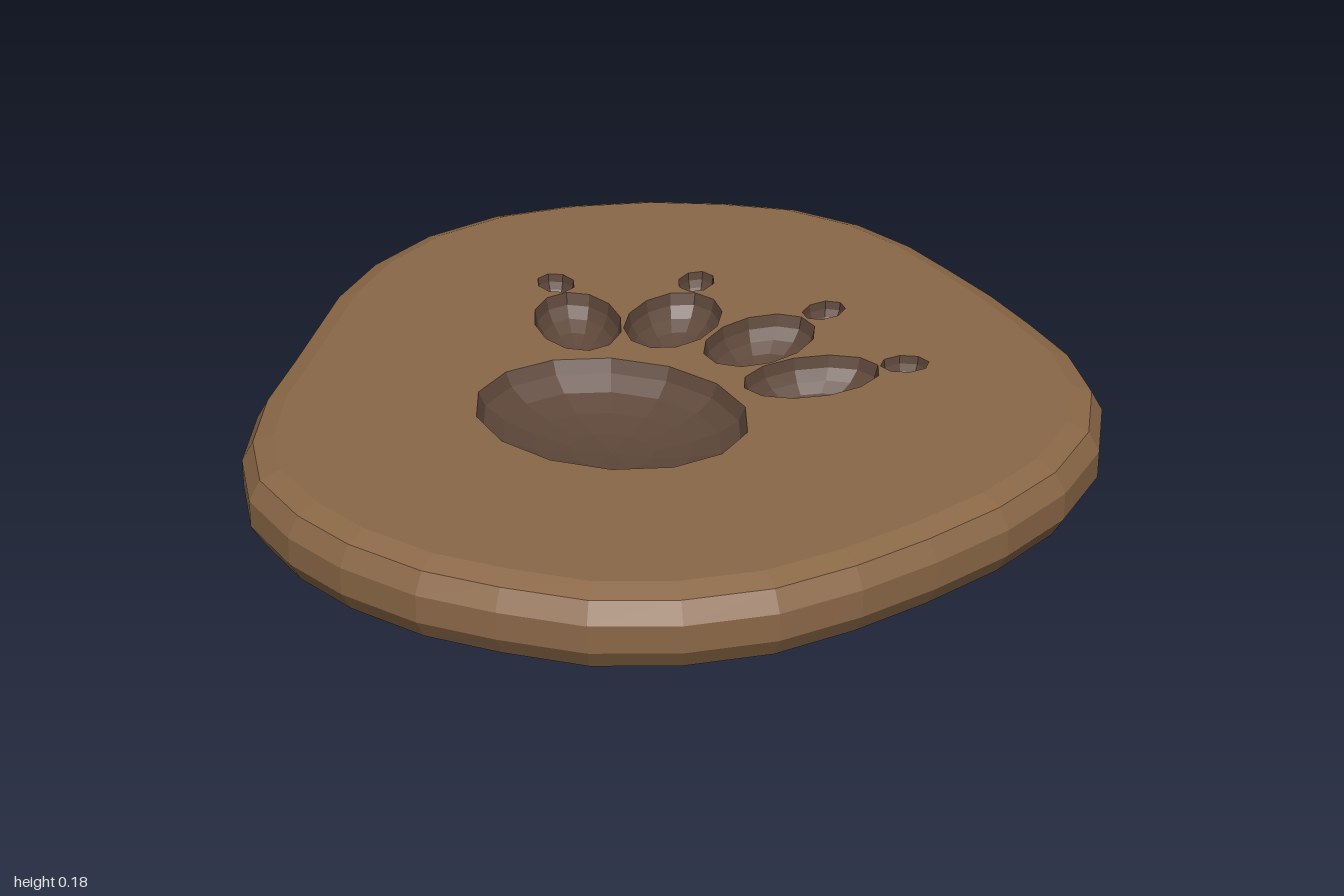
import * as THREE from 'three';

const TOP = 0.18;

// Slab outline as [x, z], clockwise seen from above
const OUTLINE = [
  [-0.2, -1], [-0.01, -0.99], [0.16, -0.93], [0.3, -0.85], [0.45, -0.76], [0.59, -0.66], [0.73, -0.55], [0.85, -0.4],
  [0.92, -0.21], [0.93, 0], [0.89, 0.2], [0.82, 0.39], [0.74, 0.56], [0.64, 0.72], [0.5, 0.85], [0.34, 0.94],
  [0.16, 0.98], [-0.01, 1], [-0.2, 0.98], [-0.36, 0.93], [-0.52, 0.84], [-0.64, 0.7], [-0.73, 0.52], [-0.79, 0.33],
  [-0.84, 0.18], [-0.9, 0], [-0.93, -0.2], [-0.91, -0.41], [-0.83, -0.6], [-0.7, -0.75], [-0.54, -0.87], [-0.37, -0.95],
];

// Edge profile as [inset, y], bottom to top
const PROFILE = [[0.07, 0], [0.025, 0.017], [0, 0.06], [0, 0.12], [0.025, 0.163], [0.07, TOP]];

function insetOutline(d) {
  const n = OUTLINE.length;
  return OUTLINE.map(([x, z], i) => {
    const a = OUTLINE[(i + n - 1) % n], b = OUTLINE[(i + 1) % n];
    const dx = b[0] - a[0], dz = b[1] - a[1], len = Math.hypot(dx, dz);
    return [x - (dz / len) * d, z + (dx / len) * d];
  });
}

// Bevelled band around the slab
function edgeGeometry() {
  const n = OUTLINE.length, pos = [], index = [];
  for (const [d, y] of PROFILE) for (const [x, z] of insetOutline(d)) pos.push(x, y, z);
  for (let j = 0; j < PROFILE.length - 1; j++) {
    for (let i = 0; i < n; i++) {
      const a = j * n + i, b = j * n + (i + 1) % n;
      index.push(a, a + n, b, b, a + n, b + n);
    }
  }
  const g = new THREE.BufferGeometry();
  g.setAttribute('position', new THREE.Float32BufferAttribute(pos, 3));
  g.setIndex(index);
  g.computeVertexNormals();
  return g;
}

// Elliptical hollow sunk into the top; rim vertices also outline the hole
function hollow({ x, z, rx, rz, turn = 0, depth, sides }) {
  const rings = 5, profile = [];
  for (let j = 0; j <= rings; j++) {
    const a = (j / rings) * Math.PI / 2;
    profile.push(new THREE.Vector2(j === rings ? 0 : Math.cos(a), -Math.sin(a) * depth));
  }
  const g = new THREE.LatheGeometry(profile, sides);
  g.scale(rx, 1, rz).rotateY(turn).translate(x, TOP, z);
  const p = g.attributes.position, rim = [];
  for (let i = 0; i < sides; i++) {
    const k = i * profile.length;
    rim.push(new THREE.Vector2(p.getX(k), -p.getZ(k)));
  }
  return { geometry: g, rim };
}

export function createModel() {
  const group = new THREE.Group();
  const clay = new THREE.MeshStandardMaterial({ color: 0x8b6847, flatShading: true });
  const dark = new THREE.MeshStandardMaterial({ color: 0x5e473a, flatShading: true, side: THREE.DoubleSide });
  const add = (name, geometry, material) => {
    const mesh = new THREE.Mesh(geometry, material);
    mesh.name = name;
    group.add(mesh);
  };

  // Paw print: pad, then mirrored toes and claws
  const cx = -0.015, deg = Math.PI / 180;
  const prints = [['padHollow', { x: cx, z: 0.23, rx: 0.305, rz: 0.253, depth: 0.1, sides: 14 }]];
  for (const [side, s] of [['left', 1], ['right', -1]]) {
    const print = (part, x, z, rx, rz, tilt, depth, sides) =>
      prints.push([side + part, { x: cx + s * x, z, rx, rz, turn: -s * tilt * deg, depth, sides }]);
    print('InnerToe', 0.11, -0.24, 0.105, 0.155, 10, 0.09, 12);
    print('OuterToe', 0.295, -0.13, 0.098, 0.158, 40, 0.09, 12);
    print('InnerClaw', 0.165, -0.45, 0.042, 0.058, 14, 0.06, 8);
    print('OuterClaw', 0.445, -0.285, 0.043, 0.055, 50, 0.06, 8);
  }

  // Top face with holes for the print
  const topShape = new THREE.Shape(insetOutline(0.07).map(([x, z]) => new THREE.Vector2(x, -z)));
  for (const [name, spec] of prints) {
    const { geometry, rim } = hollow(spec);
    topShape.holes.push(new THREE.Path(rim));
    add(name, geometry, dark);
  }
  add('slabTop', new THREE.ShapeGeometry(topShape).rotateX(-Math.PI / 2).translate(0, TOP, 0), clay);

  // Slab edge and underside
  add('slabEdge', edgeGeometry(), clay);
  const baseShape = new THREE.Shape(insetOutline(0.07).map(([x, z]) => new THREE.Vector2(x, z)));
  add('slabUnderside', new THREE.ShapeGeometry(baseShape).rotateX(Math.PI / 2), clay);
  return group;
}
